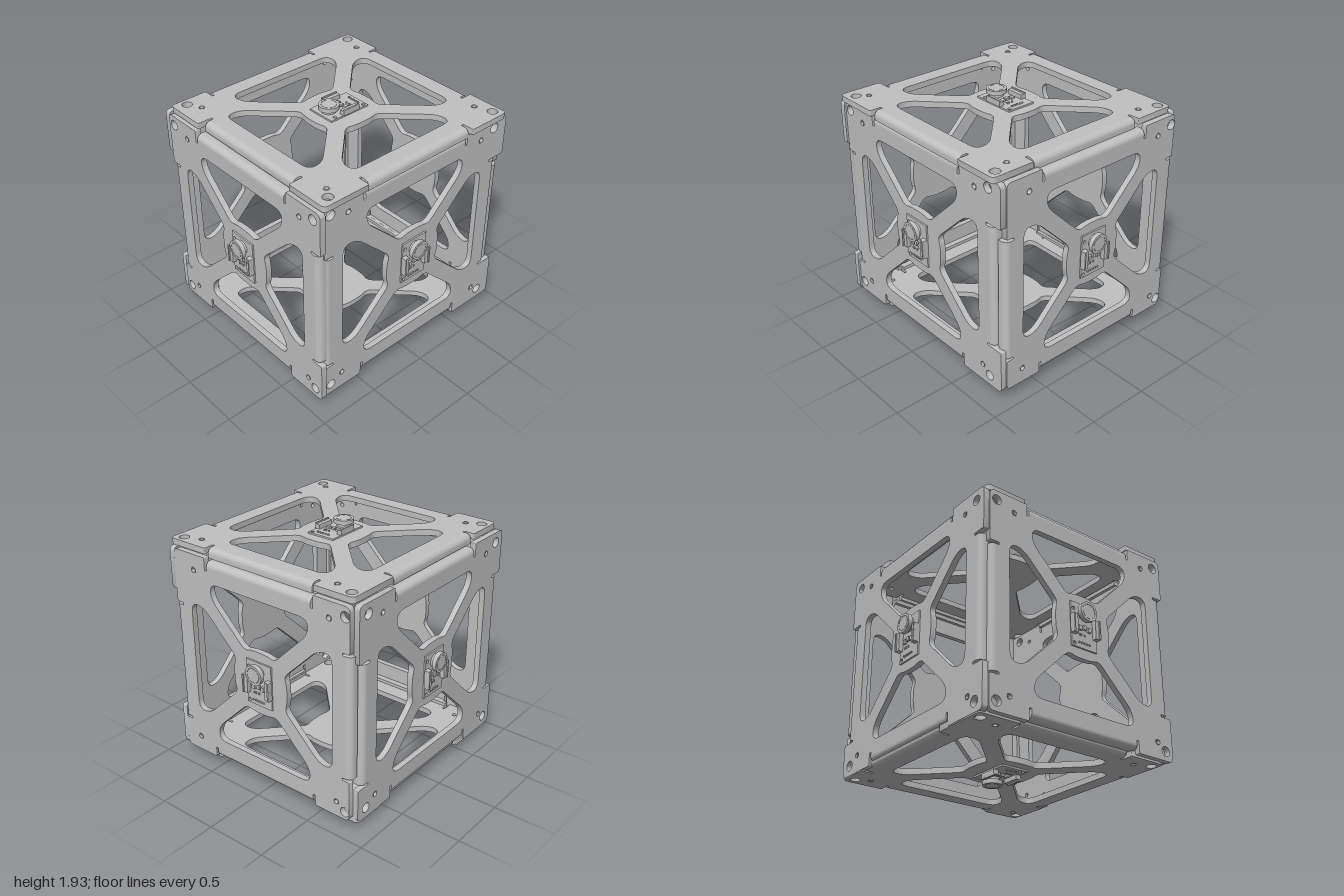
import * as THREE from 'three';
import { toCreasedNormals } from 'three/addons/utils/BufferGeometryUtils.js';

const T = 0.047; // sheet thickness
const metal = new THREE.MeshStandardMaterial({ color: 0xc0c0c0 });
metal.name = 'grey metal';

function mesh(name, geometry, x = 0, y = 0, z = 0) {
  const m = new THREE.Mesh(geometry, metal);
  m.name = name;
  m.position.set(x, y, z);
  return m;
}

// Traces a closed polygon of [x, y, cornerRadius] points
function trace(path, pts) {
  pts.forEach(([x, y, r = 0], i) => {
    const a = pts[(i + pts.length - 1) % pts.length], b = pts[(i + 1) % pts.length];
    const toward = (q) => {
      const l = Math.hypot(q[0] - x, q[1] - y);
      const k = Math.min(r, l * 0.5) / l;
      return [x + (q[0] - x) * k, y + (q[1] - y) * k];
    };
    const s = toward(a), e = toward(b);
    if (i === 0) path.moveTo(...s); else path.lineTo(...s);
    if (r > 0) path.quadraticCurveTo(x, y, ...e);
  });
  path.closePath();
  return path;
}

function circle(x, y, r) {
  return new THREE.Path().absarc(x, y, r, 0, Math.PI * 2, true);
}

function extrude(shape, depth) {
  const g = new THREE.ExtrudeGeometry(shape, { depth, bevelEnabled: false, curveSegments: 8 });
  return toCreasedNormals(g, 0.6);
}

// One of the four openings between the diagonal arms
const WINDOW = [[-0.46, 0.67, 0.08], [-0.46, 0.55, 0.08], [-0.145, 0.235, 0.05], [-0.07, 0.257, 0.05],
  [0.07, 0.257, 0.05], [0.145, 0.235, 0.05], [0.46, 0.55, 0.08], [0.46, 0.67, 0.08]];

// Bent edge strip: quarter bend with a short straight lip
function flangeGeometry(length) {
  const s = new THREE.Shape();
  s.moveTo(0, 0);
  s.absarc(0, -0.045, 0.045, Math.PI / 2, 0, true);
  s.lineTo(0.045, -0.075);
  s.lineTo(0.012, -0.075);
  s.lineTo(0.012, -T);
  s.lineTo(0, -T);
  s.closePath();
  return extrude(s, length).translate(0, 0, -length / 2);
}

// Small circuit board with a round button, connectors, chips and pins
function sensorBoard() {
  const g = new THREE.Group();
  g.name = 'sensorBoard';
  const box = (name, w, h, d, x, y, z) => g.add(mesh(name, new THREE.BoxGeometry(w, h, d), x, y, z + d / 2));
  const disc = (name, r, d, x, y, z) =>
    g.add(mesh(name, new THREE.CylinderGeometry(r, r, d, 32).rotateX(Math.PI / 2), x, y, z + d / 2));

  const pcb = trace(new THREE.Shape(), [[-0.12, -0.18], [0.12, -0.18], [0.12, 0.18], [-0.12, 0.18]]);
  for (const y of [-0.155, 0.125]) pcb.holes.push(circle(-0.095, y, 0.014));
  g.add(mesh('circuitBoard', extrude(pcb, 0.013)));

  for (const x of [-0.107, 0.105]) {
    box('connector', 0.044, 0.15, 0.035, x, -0.01, 0.013);
    box('connectorLip', 0.012, 0.15, 0.045, x * 1.15, -0.01, 0.013);
  }
  disc('buttonStem', 0.055, 0.03, 0, 0.1, 0.012);
  disc('button', 0.078, 0.034, 0, 0.1, 0.039);
  g.add(mesh('buttonRing', new THREE.TorusGeometry(0.058, 0.002, 6, 32), 0, 0.1, 0.073));
  for (const x of [-0.045, 0, 0.042]) box('chip', 0.028, 0.035, 0.018, x, -0.015 - Math.abs(x) * 0.2, 0.012);
  for (const x of [-0.045, -0.03, 0]) box('smallChip', 0.009, 0.014, 0.01, x, -0.075, 0.012);
  for (let i = 0; i < 5; i++) disc('pin', 0.007, 0.012, -0.055 + i * 0.025, -0.14, 0.012);
  return g;
}

// Sheet panel; ext = [left, right, bottom, top] edges, c = centre, half = reach of the openings
function panel({ name, u, v, w, out, c, half, ext, flip }) {
  const g = new THREE.Group();
  g.name = name;
  const sides = [
    { d: [1, 0], reach: c[1] - ext[2], h: half[1], o: 0 },
    { d: [0, 1], reach: ext[1] - c[0], h: half[0], o: 0 },
    { d: [-1, 0], reach: ext[3] - c[1], h: half[1], o: 0 },
    { d: [0, -1], reach: c[0] - ext[0], h: half[0], o: 0.08 },
  ];

  // Outline with corner tabs, relief slots and recessed edges
  const outline = [];
  const flange = flangeGeometry(0.98);
  sides.forEach(({ d, reach, h, o }, k) => {
    const n = [d[1], -d[0]], f = h + 0.165;
    const put = (s, t, r = 0) => outline.push([s * d[0] + t * n[0], s * d[1] + t * n[1], r]);
    put(-sides[(k + 3) % 4].reach, reach, 0.04);
    put(o - 0.51, reach, 0.01);
    put(o - 0.51, f - 0.075, 0.01);
    put(o - 0.49, f - 0.075, 0.01);
    put(o - 0.49, f - 0.045);
    put(o + 0.49, f - 0.045);
    put(o + 0.49, f - 0.075, 0.01);
    put(o + 0.51, f - 0.075, 0.01);
    put(o + 0.51, reach, 0.01);

    const strip = mesh('bentEdge', flange);
    strip.applyMatrix4(new THREE.Matrix4().makeBasis(
      new THREE.Vector3(n[0], n[1], 0), new THREE.Vector3(0, 0, 1), new THREE.Vector3(-d[0], -d[1], 0),
    ).setPosition(o * d[0] + (f - 0.045) * n[0], o * d[1] + (f - 0.045) * n[1], 0));
    g.add(strip);
  });
  const shape = trace(new THREE.Shape(), outline);

  // Four openings, corner holes and small screw holes
  const su = half[0] / 0.67, sv = half[1] / 0.67;
  for (let k = 0; k < 4; k++) {
    const cs = Math.round(Math.cos(k * Math.PI / 2)), sn = Math.round(Math.sin(k * Math.PI / 2));
    shape.holes.push(trace(new THREE.Path(),
      WINDOW.map(([x, y, r]) => [(x * cs - y * sn) * su, (x * sn + y * cs) * sv, r])));
  }
  for (const sx of [-1, 1]) for (const sy of [-1, 1])
    shape.holes.push(circle(sx * (half[0] + 0.113), sy * (half[1] + 0.113), 0.04));
  for (const [x, y] of [[-0.625, 0.735], [0.645, 0.735], [-0.675, -0.725], [0.705, -0.725]]) {
    shape.holes.push(circle(x * su, y * sv, 0.018));
    g.add(mesh('screwHoleRim', new THREE.TorusGeometry(0.021, 0.003, 6, 20), x * su, y * sv, 0));
  }
  g.add(mesh('panelSheet', extrude(shape, T), 0, 0, -T));

  const board = sensorBoard();
  if (flip) board.rotation.z = Math.PI;
  g.add(board);

  const [U, V, W] = [u, v, w].map((a) => new THREE.Vector3(...a));
  const origin = W.clone().multiplyScalar(out).addScaledVector(U, c[0]).addScaledVector(V, c[1]);
  g.applyMatrix4(new THREE.Matrix4().makeBasis(U, V, W).setPosition(origin));
  return g;
}

const PANELS = [
  { name: 'frontPanel', u: [1, 0, 0], v: [0, 1, 0], w: [0, 0, 1], out: 0.926,
    c: [0.025, 0.947], half: [0.673, 0.667], ext: [-0.822, 0.885, 0.092, 1.803] },
  { name: 'backPanel', u: [-1, 0, 0], v: [0, 1, 0], w: [0, 0, -1], out: 0.926,
    c: [0.005, 0.95], half: [0.673, 0.667], ext: [-0.82, 0.83, 0.105, 1.808] },
  { name: 'leftPanel', u: [0, 0, -1], v: [0, 1, 0], w: [1, 0, 0], out: 0.87,
    c: [-0.016, 0.965], half: [0.694, 0.667], ext: [-0.879, 0.92, 0.1, 1.808] },
  { name: 'rightPanel', u: [0, 0, 1], v: [0, 1, 0], w: [-1, 0, 0], out: 0.873,
    c: [0.025, 0.945], half: [0.694, 0.667], ext: [-0.878, 0.92, 0.085, 1.808] },
  { name: 'topPanel', u: [1, 0, 0], v: [0, 0, -1], w: [0, 1, 0], out: 1.858, flip: true,
    c: [0.033, 0.005], half: [0.675, 0.693], ext: [-0.822, 0.898, -0.9, 0.879] },
  { name: 'bottomPanel', u: [1, 0, 0], v: [0, 0, 1], w: [0, -1, 0], out: -0.075, flip: true,
    c: [-0.015, 0], half: [0.675, 0.693], ext: [-0.87, 0.822, -0.879, 0.885] },
];

export function createModel() {
  const model = new THREE.Group();
  model.name = 'panelCube';
  for (const p of PANELS) model.add(panel(p));
  return model;
}
